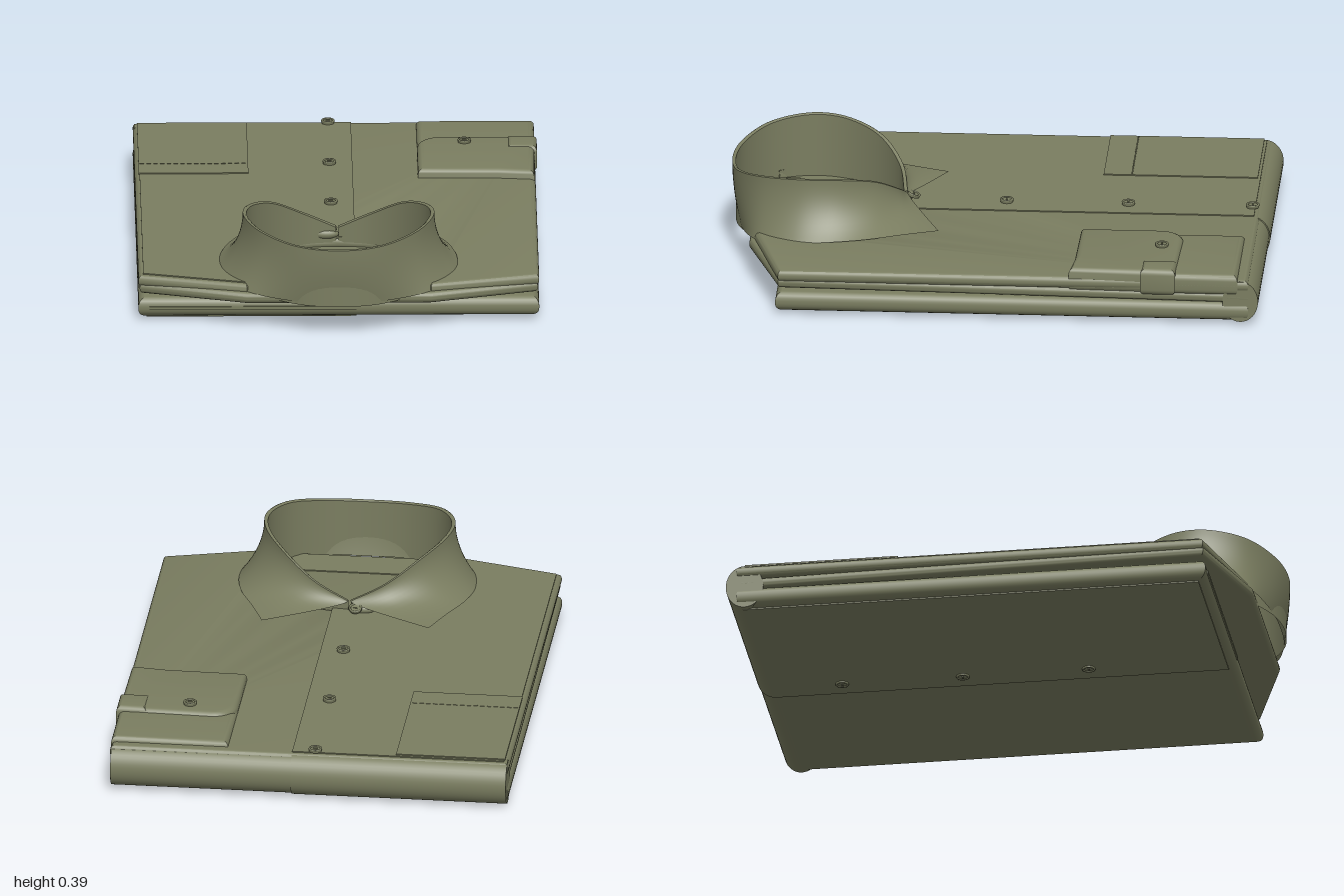
import * as THREE from 'three';
import { toCreasedNormals } from 'three/addons/utils/BufferGeometryUtils.js';

const cloth = new THREE.MeshStandardMaterial({ color: 0x7a7d60, side: THREE.DoubleSide });
cloth.name = 'olive cloth';

export function createModel() {
  const shirt = new THREE.Group();
  shirt.name = 'foldedShirt';

  const add = (name, geometry, parent = shirt) => {
    const mesh = new THREE.Mesh(geometry, cloth);
    mesh.name = name;
    parent.add(mesh);
    return mesh;
  };

  // Horizontal layer of cloth from an (x, z) outline, with rounded edges
  const layer = (name, outline, y0, y1, bevel = 0, tilt = 0) => {
    const shape = new THREE.Shape(outline.map(([x, z]) => new THREE.Vector2(x, -z)));
    const geo = new THREE.ExtrudeGeometry(shape, {
      depth: y1 - y0 - 2 * bevel, bevelEnabled: bevel > 0,
      bevelSize: bevel, bevelThickness: bevel, bevelOffset: -bevel, bevelSegments: 5,
    });
    geo.rotateX(-Math.PI / 2);
    geo.translate(0, y0 + bevel, 0);
    const p = geo.attributes.position;
    for (let i = 0; i < p.count; i++) p.setY(i, p.getY(i) + tilt * p.getZ(i));
    return add(name, toCreasedNormals(geo, 0.6));
  };
  const rect = (x0, x1, z0, z1) => [[x0, z0], [x1, z0], [x1, z1], [x0, z1]];

  // Neck opening, from the model's left round the front to its right
  const neck = (from, to, n) => Array.from({ length: n + 1 }, (_, i) => {
    const a = from + (to - from) * i / n;
    return [0.36 * Math.sin(a), 0.66 - 0.3 * Math.cos(a)];
  });

  // Folded body layers
  layer('lowerFold', rect(-0.74, 0.74, -0.96, 0.79), 0.01, 0.086, 0.033);
  layer('backPanel', [[-0.735, -0.96], [0.735, -0.96], [0.735, 0.78], [0.34, 0.91],
    [-0.34, 0.91], [-0.735, 0.78]], 0.092, 0.134, 0.018, 0.012);
  layer('frontPanel', [[-0.74, -0.96], [0.74, -0.96], [0.74, 0.78], [0.34, 0.89],
    ...neck(2.2, -2.2, 32), [-0.34, 0.89], [-0.74, 0.78]], 0.126, 0.172, 0.02);
  layer('yoke', rect(-0.3, 0.3, 0.76, 0.905), 0.14, 0.147);

  // Rounded fold along the bottom hem, and the raised overlapping front edge
  const hem = (name, x0, x1, ry, rz) => {
    const mesh = add(name, new THREE.CylinderGeometry(1, 1, x1 - x0, 40).rotateZ(Math.PI / 2));
    mesh.scale.set(1, ry, rz);
    mesh.position.set((x0 + x1) / 2, 0.0885, -0.93);
  };
  hem('hemFold', -0.735, 0.735, 0.079, 0.066);
  hem('hemOverlap', -0.735, 0.065, 0.083, 0.07);
  layer('frontOverlap', [[-0.722, -0.94], [0.065, -0.94], [0.065, 0.365],
    ...neck(0, -2.2, 16), [-0.34, 0.87], [-0.722, 0.765]], 0.17, 0.176);
  layer('undersideOverlap', rect(-0.71, 0.065, -0.94, 0.76), 0.005, 0.012);
  layer('foldOverlapEnd', rect(-0.7, 0.065, 0.7, 0.795), 0.042, 0.054);

  // Chest pocket with a stitched hem
  layer('pocket', rect(-0.725, -0.32, -0.93, -0.36), 0.174, 0.18);
  for (let i = 0; i < 16; i++) {
    const x = -0.72 + i * 0.025;
    layer('pocketStitch', rect(x, x + 0.016, -0.467, -0.462), 0.178, 0.182);
  }

  // Sleeve end and cuff folded over the left side
  layer('sleeve', rect(0.305, 0.74, -0.92, -0.6), 0.11, 0.192, 0.024);
  const corner = Array.from({ length: 9 }, (_, i) => {
    const a = i / 8 * Math.PI / 2;
    return [0.395 - 0.09 * Math.sin(a), -0.61 - 0.09 * Math.cos(a)];
  });
  layer('cuff', [[0.74, -0.69], ...corner, [0.305, -0.315], [0.6, -0.31], [0.735, -0.295]],
    0.112, 0.206, 0.024);
  layer('cuffTab', rect(0.635, 0.748, -0.69, -0.56), 0.108, 0.212, 0.024);

  // Buttons: disc, raised rim and a centre stitch
  const button = (x, y, z, flip = false) => {
    const g = new THREE.Group();
    g.name = 'button';
    add('buttonDisc', new THREE.CylinderGeometry(0.025, 0.023, 0.01, 24), g);
    const rim = add('buttonRim', new THREE.TorusGeometry(0.021, 0.004, 8, 24).rotateX(Math.PI / 2), g);
    rim.position.y = 0.005;
    const thread = add('buttonThread', new THREE.BoxGeometry(0.016, 0.004, 0.006), g);
    thread.position.y = 0.006;
    g.position.set(x, y, z);
    if (flip) g.rotation.x = Math.PI;
    shirt.add(g);
    return g;
  };
  [-0.93, -0.47, -0.02].forEach((z) => button(-0.02, 0.182, z));
  [-0.67, -0.22, 0.25].forEach((z) => button(-0.02, 0.007, z, true));
  button(0.48, 0.21, -0.625);
  button(-0.025, 0.195, 0.325).rotation.x = -0.35;

  // Collar: half curves from the front to the centre back, mirrored
  const around = (half) => new THREE.CatmullRomCurve3([
    ...half.map(([x, y, z]) => new THREE.Vector3(x, y, z)),
    ...half.slice(0, -1).reverse().map(([x, y, z]) => new THREE.Vector3(-x, y, z)),
  ]);
  const rimCurve = around([[0.005, 0.215, 0.345], [0.13, 0.275, 0.37], [0.25, 0.345, 0.455],
    [0.335, 0.38, 0.59], [0.352, 0.386, 0.72], [0.29, 0.372, 0.87], [0.16, 0.347, 0.965], [0, 0.338, 0.993]]);
  const edgeCurve = around([[0.31, 0.181, 0.212], [0.36, 0.181, 0.34], [0.415, 0.18, 0.47],
    [0.44, 0.175, 0.61], [0.425, 0.165, 0.75], [0.35, 0.147, 0.88], [0.19, 0.13, 0.945], [0, 0.122, 0.965]]);

  // Surface through rows of matching points
  const loft = (rows) => {
    const n = rows[0].length, index = [];
    for (let j = 0; j < rows.length - 1; j++) {
      for (let i = 0; i < n - 1; i++) {
        const a = j * n + i, b = a + n;
        index.push(a, a + 1, b, b, a + 1, b + 1);
      }
    }
    const geo = new THREE.BufferGeometry().setFromPoints(rows.flat());
    geo.setIndex(index);
    geo.computeVertexNormals();
    return geo;
  };

  const N = 112;
  const rim = rimCurve.getPoints(N), edge = edgeCurve.getPoints(N);
  // Leaf flares outward as it falls
  const leaf = Array.from({ length: 13 }, (_, j) => {
    const v = j / 12, h = v ** 2;
    return rim.map((p, i) => new THREE.Vector3(
      THREE.MathUtils.lerp(p.x, edge[i].x, h),
      THREE.MathUtils.lerp(p.y, edge[i].y, v),
      THREE.MathUtils.lerp(p.z, edge[i].z, h)));
  }).reverse();
  // Stand goes straight down inside the neck
  const inset = (p, s, y) => new THREE.Vector3(p.x * s, y, 0.67 + (p.z - 0.67) * s);
  const foot = (p) => THREE.MathUtils.lerp(0.155, 0.115, (p.z - 0.345) / 0.65);
  add('collarLeaf', loft(leaf));
  add('collarRim', loft([rim, rim.map((p) => inset(p, 0.982, p.y + 0.003)),
    rim.map((p) => inset(p, 0.96, p.y - 0.003))]));
  add('collarStand', loft([0, 0.25, 0.5, 0.75, 1].map((v) => rim.map((p) =>
    inset(p, 0.96, THREE.MathUtils.lerp(p.y - 0.003, foot(p), v))))));

  // Overlapping end of the stand under the collar button
  const tab = add('standTab', new THREE.SphereGeometry(1, 24, 12));
  tab.scale.set(0.05, 0.02, 0.022);
  tab.position.set(-0.045, 0.185, 0.35);

  return shirt;
}
